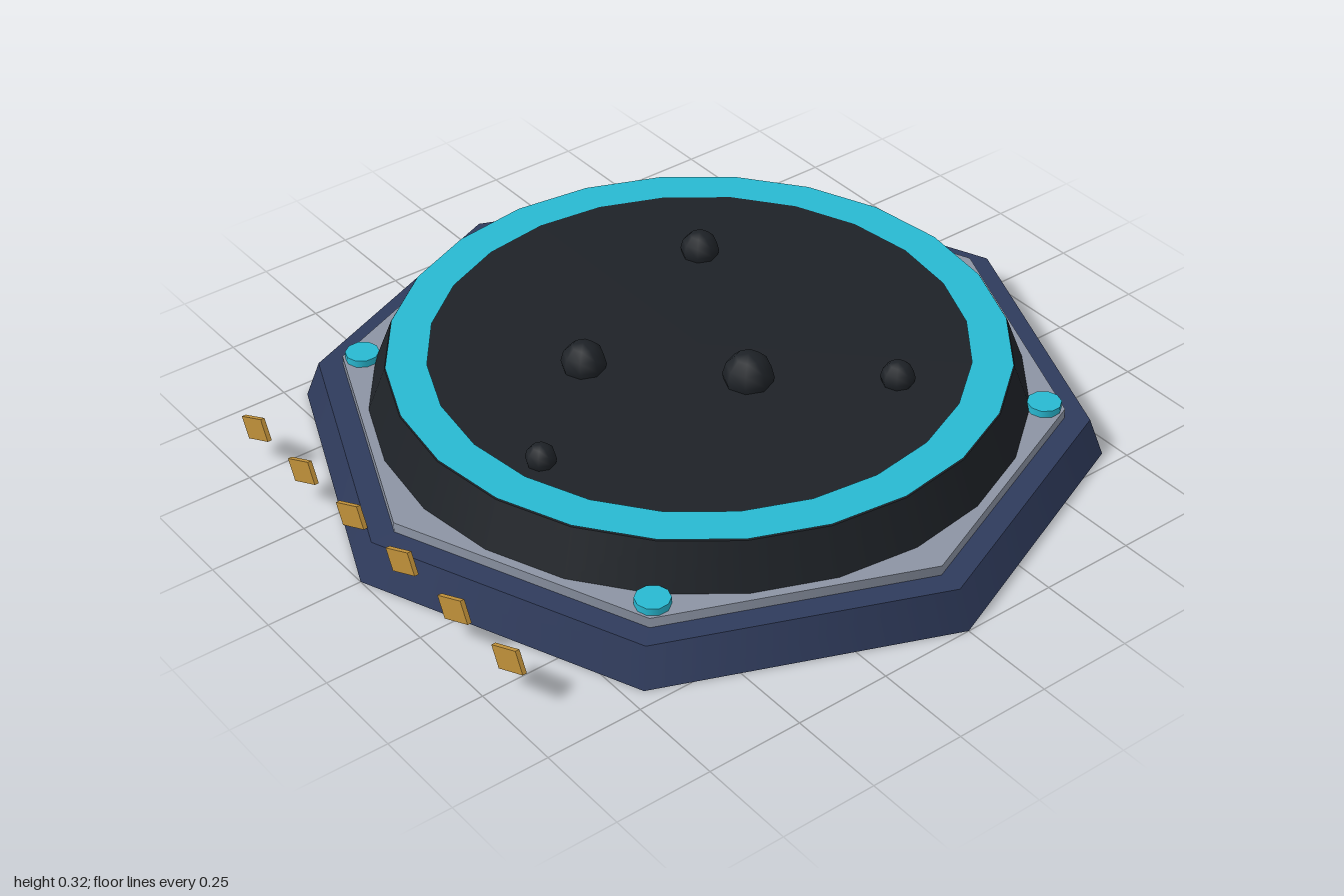
import * as THREE from 'three';

const mat = (color, extra = {}) => {
  const m = new THREE.MeshStandardMaterial({ color, ...extra });
  return m;
};

export function createModel() {
  const model = new THREE.Group();
  const navy = mat(0x2f3b5c), grey = mat(0x8c94a4), black = mat(0x1e2227);
  const cyan = mat(0x28b9d2), gold = mat(0xc0913a);

  const add = (name, geometry, material, x = 0, y = 0, z = 0) => {
    const mesh = new THREE.Mesh(geometry, material);
    mesh.name = name;
    mesh.position.set(x, y, z);
    model.add(mesh);
    return mesh;
  };

  // A tapered disc standing between two heights
  const disc = (name, rTop, rBottom, y0, y1, sides, material, x = 0, z = 0) =>
    add(name, new THREE.CylinderGeometry(rTop, rBottom, y1 - y0, sides), material, x, (y0 + y1) / 2, z);

  // Stacked platform: octagonal base and plate, round drum
  disc('base', 0.963, 1, 0, 0.1, 8, navy);
  disc('plate', 0.9, 0.9, 0.1, 0.127, 8, grey);
  disc('drum', 0.77, 0.815, 0.127, 0.244, 24, black);

  // Flat glowing band on the drum's rim
  const band = new THREE.RingGeometry(0.667, 0.768, 24).rotateX(-Math.PI / 2);
  add('rimBand', band, cyan, 0, 0.247, 0);

  // Corner lights on the plate
  for (const x of [-0.6, 0.6])
    for (const z of [-0.6, 0.6])
      disc('cornerLight', 0.043, 0.043, 0.118, 0.146, 10, cyan, x, z);

  // Half-sunk lumps scattered over the drum: x, z, radius
  const lumps = [
    [-0.315, -0.247, 0.05],
    [0.417, -0.28, 0.043],
    [0.192, 0, 0.064],
    [-0.096, 0.28, 0.057],
    [0.15, 0.582, 0.038],
  ];
  for (const [x, z, r] of lumps)
    add('lump', new THREE.SphereGeometry(r, 8, 6), black, x, 0.258, z);

  // Row of slanted marker plates along the front
  const marker = new THREE.BoxGeometry(0.106, 0.058, 0.011);
  for (let i = 0; i < 6; i++)
    add('marker', marker, gold, (i - 2.5) * 0.214, 0.106, 0.948).rotation.z = 0.45;

  return model;
}
